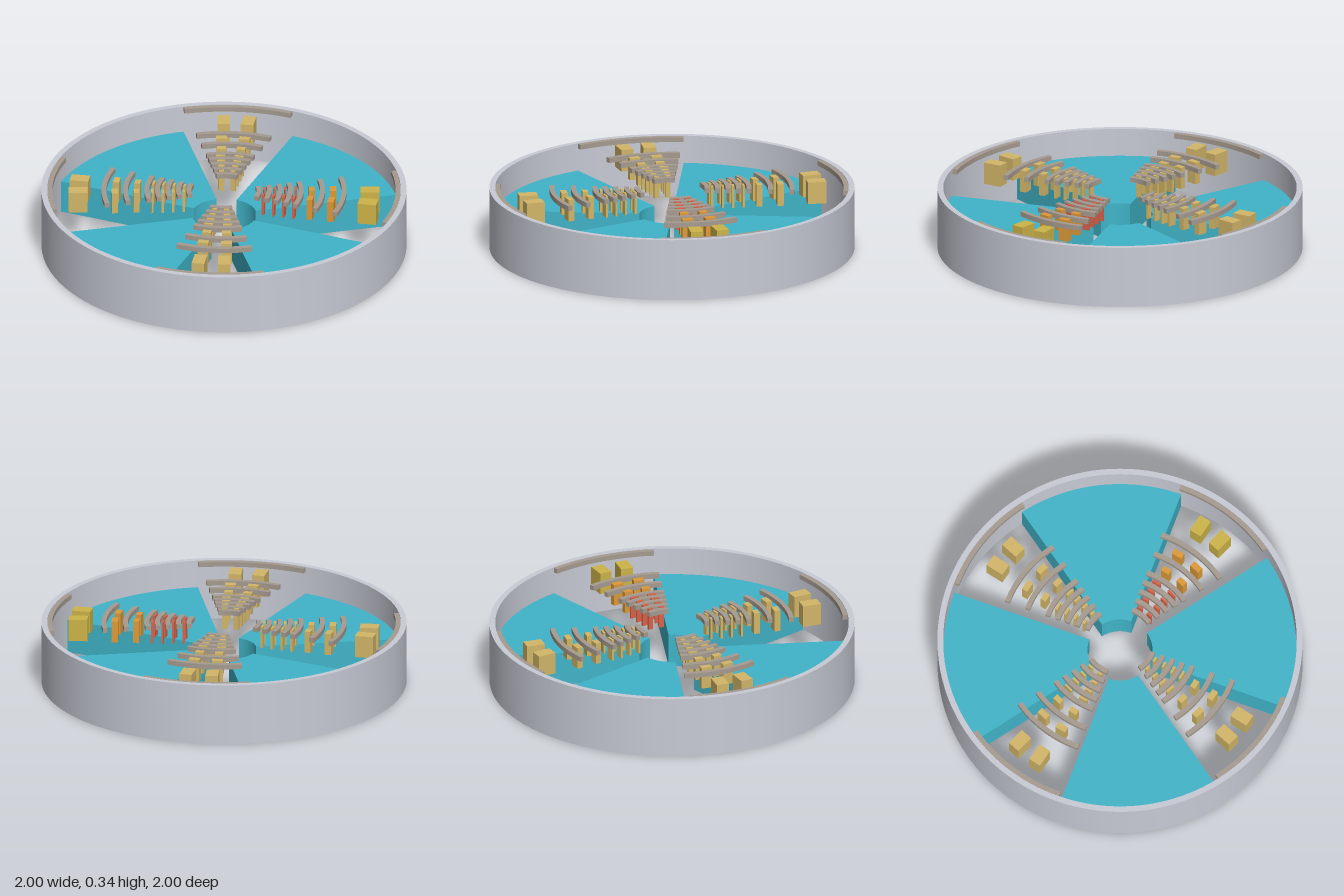
import * as THREE from 'three';
import { toCreasedNormals } from 'three/addons/utils/BufferGeometryUtils.js';

const HEIGHT = 0.343;
const GAP = Math.PI / 5; // open angle of each quarter

const material = (name, color) => {
  const m = new THREE.MeshStandardMaterial({ color });
  m.name = name;
  return m;
};

// Upright prism over a ring sector, from angle a0 to a1 and height y0 to y1
function sector(r0, r1, a0, a1, y0, y1) {
  const shape = new THREE.Shape();
  shape.absarc(0, 0, r1, a0, a1, false);
  shape.absarc(0, 0, r0, a1, a0, true);
  shape.closePath();
  const g = new THREE.ExtrudeGeometry(shape, { depth: y1 - y0, bevelEnabled: false, curveSegments: 24 });
  g.rotateX(-Math.PI / 2).translate(0, y0, 0);
  return toCreasedNormals(g, 0.5);
}

export function createModel() {
  const model = new THREE.Group();
  model.name = 'segmentedRing';

  const grey = material('ringGrey', 0xc8cbd5);
  const teal = material('wedgeTeal', 0x40b4c8);
  const brown = material('barBrown', 0xa69b90);
  const tan = material('blockTan', 0xd2b668);
  const yellow = material('blockYellow', 0xcdb448);
  const orange = material('blockOrange', 0xdc9a3a);
  const red = material('blockRed', 0xd8634a);

  const add = (parent, name, geometry, mat) => {
    const mesh = new THREE.Mesh(geometry, mat);
    mesh.name = name;
    parent.add(mesh);
    return mesh;
  };

  // Outer ring wall
  const disc = new THREE.Shape().absarc(0, 0, 1, 0, Math.PI * 2, false);
  disc.holes.push(new THREE.Path().absarc(0, 0, 0.968, 0, Math.PI * 2, true));
  const ring = new THREE.ExtrudeGeometry(disc, { depth: HEIGHT, bevelEnabled: false, curveSegments: 96 });
  ring.rotateX(-Math.PI / 2);
  add(model, 'outerRing', toCreasedNormals(ring, 0.5), grey);

  // Shared parts: solid wedge and the curved bars of the open part
  const wedgeGeometry = sector(0.178, 0.967, GAP, Math.PI / 2, 0, 0.188);
  const barGeometries = [0.967, 0.671, 0.553, 0.436, 0.378, 0.321, 0.263, 0.205]
    .map((r) => sector(r - 0.027, r, 0, GAP, 0.314, 0.341));

  // Block pairs: radius, radial size, tangential size, angle from the middle, highlight colour
  const pairs = [
    [0.8, 0.103, 0.07, 4.9, yellow],
    [0.598, 0.035, 0.06, 6.1, orange],
    [0.481, 0.032, 0.048, 6.4, orange],
    [0.393, 0.013, 0.05, 7.5, red],
    [0.336, 0.013, 0.043, 7.7, red],
    [0.279, 0.013, 0.036, 8, red],
    [0.221, 0.013, 0.029, 8.4, red],
  ];

  for (let q = 0; q < 4; q++) {
    const quarter = new THREE.Group();
    quarter.name = 'quarter' + (q + 1);
    quarter.rotation.y = q * Math.PI / 2;
    model.add(quarter);

    add(quarter, 'wedge', wedgeGeometry, teal);
    barGeometries.forEach((g) => add(quarter, 'curvedBar', g, brown));

    // Blocks between the bars; only the first quarter is highlighted
    for (const [r, radial, tangential, spread, highlight] of pairs) {
      const tall = 0.123;
      const g = new THREE.BoxGeometry(radial, tall, tangential);
      for (const side of [-1, 1]) {
        const a = GAP / 2 + side * THREE.MathUtils.degToRad(spread);
        const block = add(quarter, 'block', g, q === 0 ? highlight : tan);
        block.position.set(r * Math.cos(a), 0.342 - tall / 2, -r * Math.sin(a));
        block.rotation.y = a;
      }
    }
  }
  return model;
}
